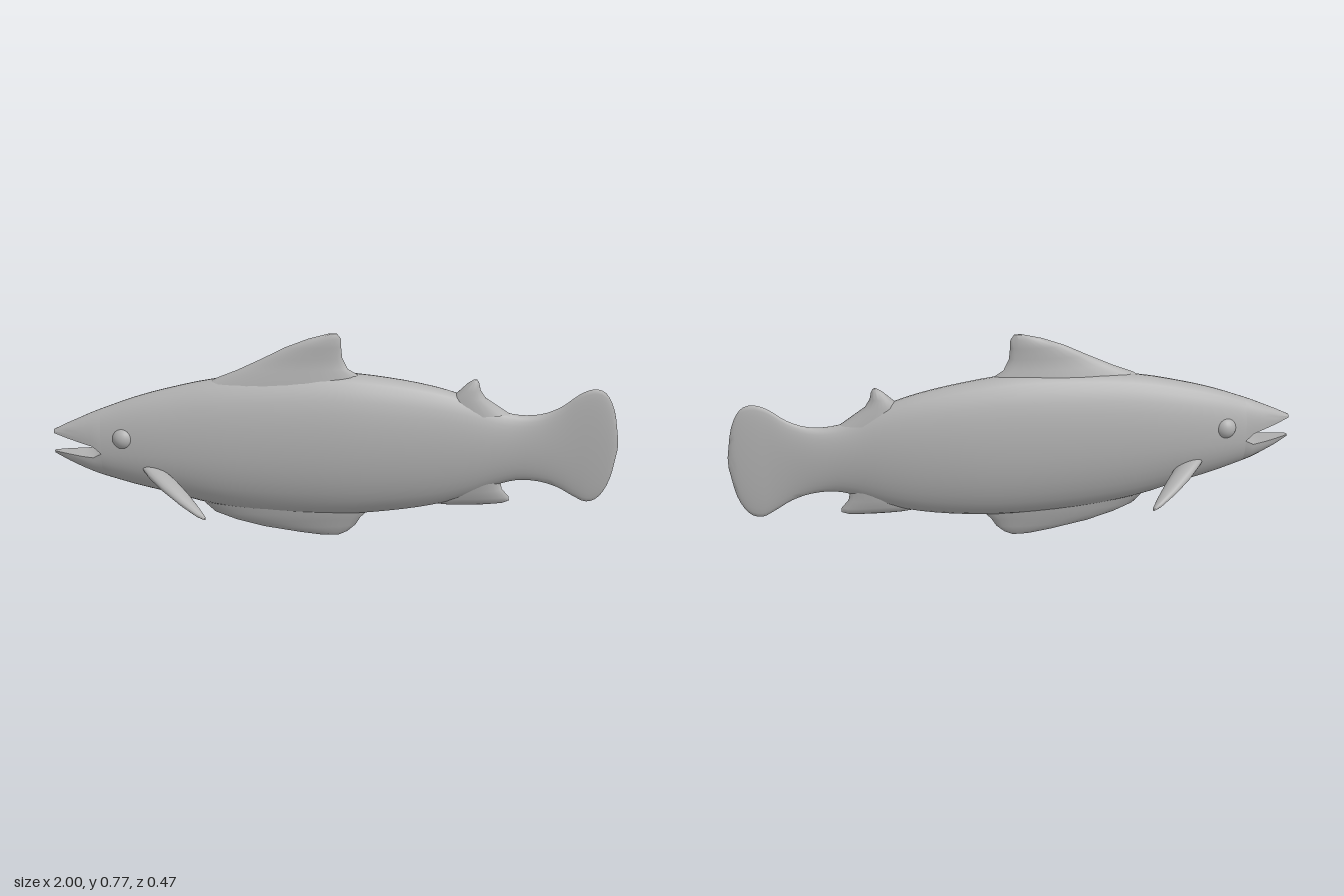
import * as THREE from 'three';
import { toCreasedNormals } from 'three/addons/utils/BufferGeometryUtils.js';

const skin = new THREE.MeshStandardMaterial({ color: 0xb0b0b0 });
skin.name = 'grey skin';

// Closed skin through a list of rings, capped at both ends
function loft(rings) {
  const n = rings[0].length, pos = [], idx = [];
  const centre = r => r.reduce((s, p) => s.add(p), new THREE.Vector3()).divideScalar(n);
  const all = [...rings.flat(), centre(rings[0]), centre(rings[rings.length - 1])];
  all.forEach(p => pos.push(p.x, p.y, p.z));
  const last = (rings.length - 1) * n, c0 = rings.length * n;
  for (let i = 0; i < n; i++) {
    const j = (i + 1) % n;
    for (let r = 0; r < last; r += n) idx.push(r + i, r + n + i, r + j, r + j, r + n + i, r + n + j);
    idx.push(c0, i, j, c0 + 1, last + j, last + i);
  }
  // Turn the faces outward whichever way the rings run
  let volume = 0;
  for (let k = 0; k < idx.length; k += 3) {
    volume += all[idx[k]].dot(all[idx[k + 1]].clone().cross(all[idx[k + 2]]));
  }
  if (volume < 0) idx.reverse();
  const g = new THREE.BufferGeometry();
  g.setAttribute('position', new THREE.Float32BufferAttribute(pos, 3));
  g.setIndex(idx);
  return toCreasedNormals(g, 0.9);
}

// Smoothly resample rows of six numbers
function smooth(rows, steps) {
  const a = new THREE.CatmullRomCurve3(rows.map(r => new THREE.Vector3(r[0], r[1], r[2])), false, 'catmullrom');
  const b = new THREE.CatmullRomCurve3(rows.map(r => new THREE.Vector3(r[3], r[4], r[5])), false, 'catmullrom');
  const count = (rows.length - 1) * steps;
  return Array.from({ length: count + 1 }, (_, i) =>
    [...a.getPoint(i / count).toArray(), ...b.getPoint(i / count).toArray()]);
}

// Upright section [x, bottom, middle, top, half width, centre z] over an arc
function section([x, yb, ym, yt, w, zc], from, to, steps, closed) {
  const ring = [];
  for (let i = 0; i < (closed ? steps : steps + 1); i++) {
    const t = from + (to - from) * i / steps, s = Math.sin(t);
    ring.push(new THREE.Vector3(x, ym + s * (s > 0 ? yt - ym : ym - yb), zc + w * Math.cos(t)));
  }
  return ring;
}

// Level fin section: ellipse between front and rear edge
function finRing(y, front, rear, half, zc) {
  return Array.from({ length: 24 }, (_, i) => {
    const t = i / 24 * Math.PI * 2;
    return new THREE.Vector3((front + rear) / 2 + (rear - front) / 2 * Math.cos(t), y, zc + half * Math.sin(t));
  });
}

export function createModel() {
  const model = new THREE.Group();
  model.name = 'fish';
  const add = (name, geometry) => {
    const mesh = new THREE.Mesh(geometry, skin);
    mesh.name = name;
    model.add(mesh);
    return mesh;
  };

  // Body running back into the fan tail
  const body = [
    [-0.83, 0.245, 0.345, 0.493, 0.06, -0.017],
    [-0.72, 0.21, 0.345, 0.533, 0.078, -0.016],
    [-0.6, 0.178, 0.345, 0.567, 0.092, -0.014],
    [-0.43, 0.13, 0.345, 0.603, 0.104, -0.011],
    [-0.22, 0.1, 0.345, 0.622, 0.11, -0.009],
    [0, 0.09, 0.345, 0.625, 0.109, -0.007],
    [0.18, 0.1, 0.345, 0.604, 0.1, -0.006],
    [0.34, 0.122, 0.345, 0.572, 0.084, -0.003],
    [0.46, 0.155, 0.345, 0.533, 0.067, 0],
    [0.56, 0.195, 0.345, 0.487, 0.049, 0.003],
    [0.64, 0.216, 0.343, 0.466, 0.036, 0.005],
    [0.72, 0.212, 0.342, 0.468, 0.027, 0.007],
    [0.79, 0.19, 0.342, 0.495, 0.021, 0.009],
    [0.85, 0.155, 0.345, 0.54, 0.018, 0.01],
    [0.9, 0.132, 0.347, 0.56, 0.017, 0.01],
    [0.945, 0.152, 0.35, 0.546, 0.015, 0.01],
    [0.98, 0.22, 0.35, 0.48, 0.011, 0.01],
    [1, 0.33, 0.35, 0.37, 0.003, 0.01],
  ];
  add('body and tail', loft(smooth(body, 3).map(s => section(s, 0, Math.PI * 2, 32, true))));

  // Open jaws: upper and lower half sections meeting at the mouth corner
  const upper = [
    [-1, 0.4, 0.405, 0.417, 0.007, -0.019],
    [-0.95, 0.39, 0.392, 0.441, 0.027, -0.019],
    [-0.9, 0.38, 0.38, 0.463, 0.043, -0.018],
    [-0.86, 0.37, 0.37, 0.481, 0.053, -0.018],
    [-0.83, 0.345, 0.345, 0.493, 0.06, -0.017],
  ];
  const lower = [
    [-1, 0.329, 0.338, 0.34, 0.007, -0.019],
    [-0.95, 0.3, 0.334, 0.34, 0.027, -0.019],
    [-0.9, 0.275, 0.33, 0.34, 0.043, -0.018],
    [-0.86, 0.257, 0.328, 0.34, 0.053, -0.018],
    [-0.83, 0.245, 0.345, 0.345, 0.06, -0.017],
  ];
  add('upper jaw', loft(upper.map(s => section(s, 0, Math.PI, 16, false))));
  add('lower jaw', loft(lower.map(s => section(s, Math.PI, Math.PI * 2, 16, false))));

  // Fins on the centre line: [y, front x, rear x, half thickness, z]
  const fins = {
    'dorsal fin': [[0.54, -0.54, 0.13, 0.05, -0.003], [0.61, -0.42, 0.085, 0.038, 0], [0.64, -0.345, 0.037, 0.027, 0.002],
      [0.68, -0.26, 0.018, 0.02, 0.003], [0.72, -0.18, 0.014, 0.017, 0.003], [0.75, -0.1, 0.013, 0.013, 0.003],
      [0.768, -0.03, 0, 0.004, 0.003]],
    'belly fin': [[0.16, -0.5, 0.13, 0.05, -0.008], [0.1, -0.44, 0.115, 0.04, -0.008], [0.07, -0.37, 0.085, 0.032, -0.009],
      [0.04, -0.27, 0.067, 0.022, -0.01], [0.015, -0.14, 0.038, 0.014, -0.01], [0.002, -0.06, 0.01, 0.004, -0.01]],
    'small back fin': [[0.47, 0.36, 0.61, 0.036, 0.004], [0.53, 0.4, 0.522, 0.03, 0.004], [0.56, 0.432, 0.503, 0.021, 0.005],
      [0.585, 0.458, 0.498, 0.014, 0.005], [0.598, 0.478, 0.49, 0.004, 0.005]],
    'rear belly fin': [[0.22, 0.4, 0.585, 0.034, 0.002], [0.18, 0.37, 0.594, 0.03, 0.001], [0.15, 0.35, 0.62, 0.023, 0],
      [0.135, 0.34, 0.622, 0.017, 0], [0.126, 0.36, 0.6, 0.01, 0], [0.121, 0.4, 0.54, 0.004, 0]],
  };
  for (const [name, rows] of Object.entries(fins)) add(name, loft(rows.map(r => finRing(...r))));

  // Paired side fins and eyes
  const sideFin = [
    [-0.64, 0.282, 0.06, 0.045, 0.02], [-0.61, 0.268, 0.1, 0.052, 0.022], [-0.565, 0.242, 0.15, 0.048, 0.02],
    [-0.515, 0.21, 0.195, 0.035, 0.014], [-0.475, 0.185, 0.226, 0.018, 0.008], [-0.46, 0.178, 0.237, 0.004, 0.003],
  ];
  for (const side of [1, -1]) {
    const label = side > 0 ? 'left' : 'right';
    const rings = sideFin.map(([x, y, z, hx, hy]) => Array.from({ length: 16 }, (_, i) => {
      const t = i / 16 * Math.PI * 2, c = Math.cos(t);
      // Chord tips down toward the trailing edge
      return new THREE.Vector3(x + hx * c, y + hy * Math.sin(t) - 0.3 * hx * c, side * z);
    }));
    add(`${label} side fin`, loft(rings));
    add(`${label} eye`, new THREE.SphereGeometry(0.042, 24, 16)).position.set(-0.75, 0.4, -0.017 + side * 0.044);
  }
  return model;
}
